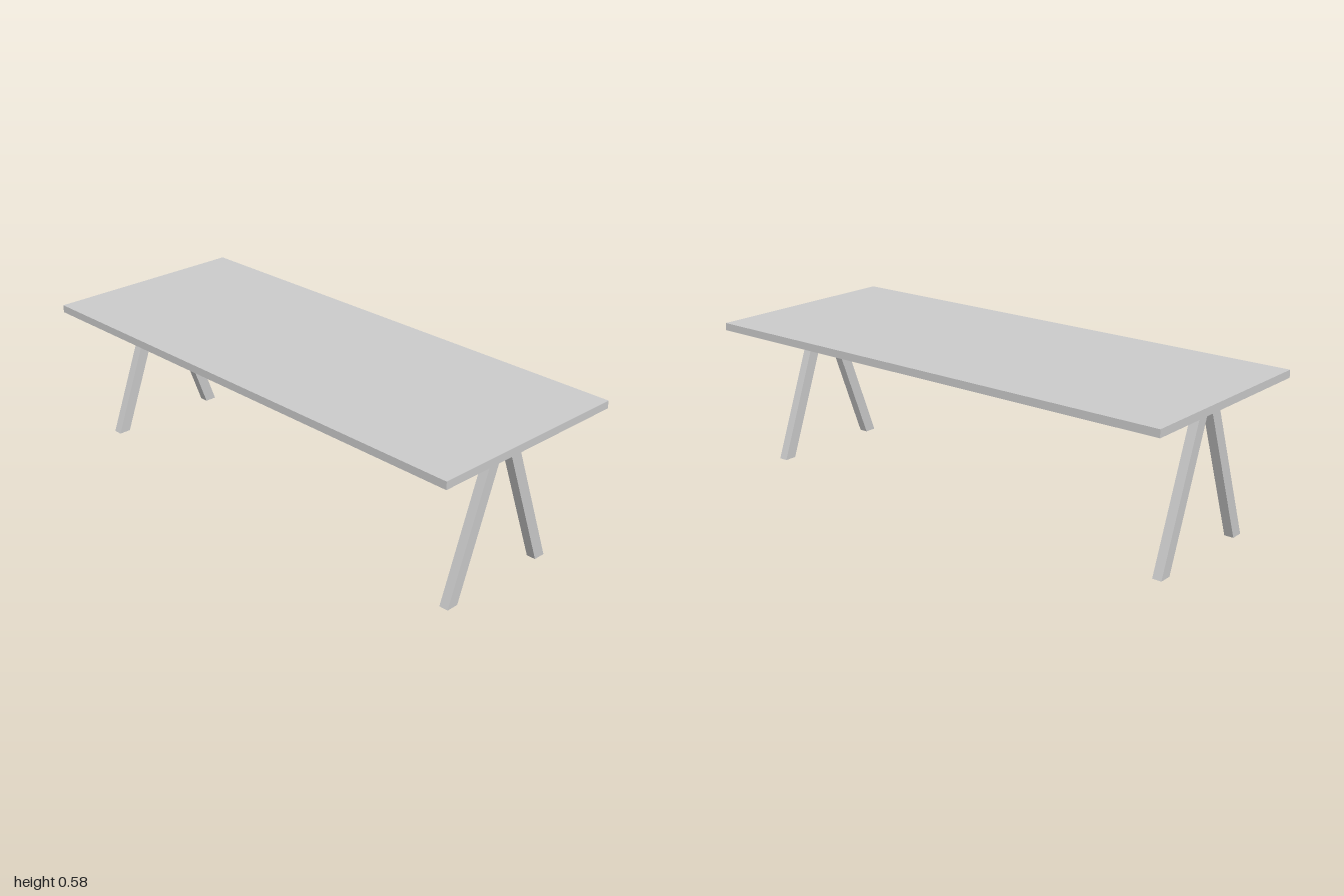
import * as THREE from 'three';

const LEG_HEIGHT = 0.552;
const TOP_THICKNESS = 0.029;
const LEG_WIDTH = 0.036;

export function createModel() {
  const model = new THREE.Group();
  model.name = 'trestleTable';
  const material = new THREE.MeshStandardMaterial({ color: 0xcccccc, flatShading: true });

  // Flat rectangular table top
  const top = new THREE.Mesh(new THREE.BoxGeometry(2, TOP_THICKNESS, 0.82), material);
  top.name = 'tableTop';
  top.position.y = LEG_HEIGHT + TOP_THICKNESS / 2;
  model.add(top);

  // Slanted leg: a parallelogram extruded along x, cut level at both ends
  const legGeometry = (side) => {
    const shape = new THREE.Shape([
      [0.207, 0], [0.255, 0], [0.049, LEG_HEIGHT], [0.001, LEG_HEIGHT],
    ].map(([z, y]) => new THREE.Vector2(-side * z, y)));
    return new THREE.ExtrudeGeometry(shape, { depth: LEG_WIDTH, bevelEnabled: false })
      .translate(0, 0, -LEG_WIDTH / 2)
      .rotateY(Math.PI / 2);
  };
  const frontLeg = legGeometry(1);
  const backLeg = legGeometry(-1);

  // An inverted V of two legs near each end
  for (const [name, x] of [['leftTrestle', 0.882], ['rightTrestle', -0.913]]) {
    const trestle = new THREE.Group();
    trestle.name = name;
    trestle.position.x = x;
    for (const [legName, geometry] of [['frontLeg', frontLeg], ['backLeg', backLeg]]) {
      const leg = new THREE.Mesh(geometry, material);
      leg.name = legName;
      trestle.add(leg);
    }
    model.add(trestle);
  }
  return model;
}
